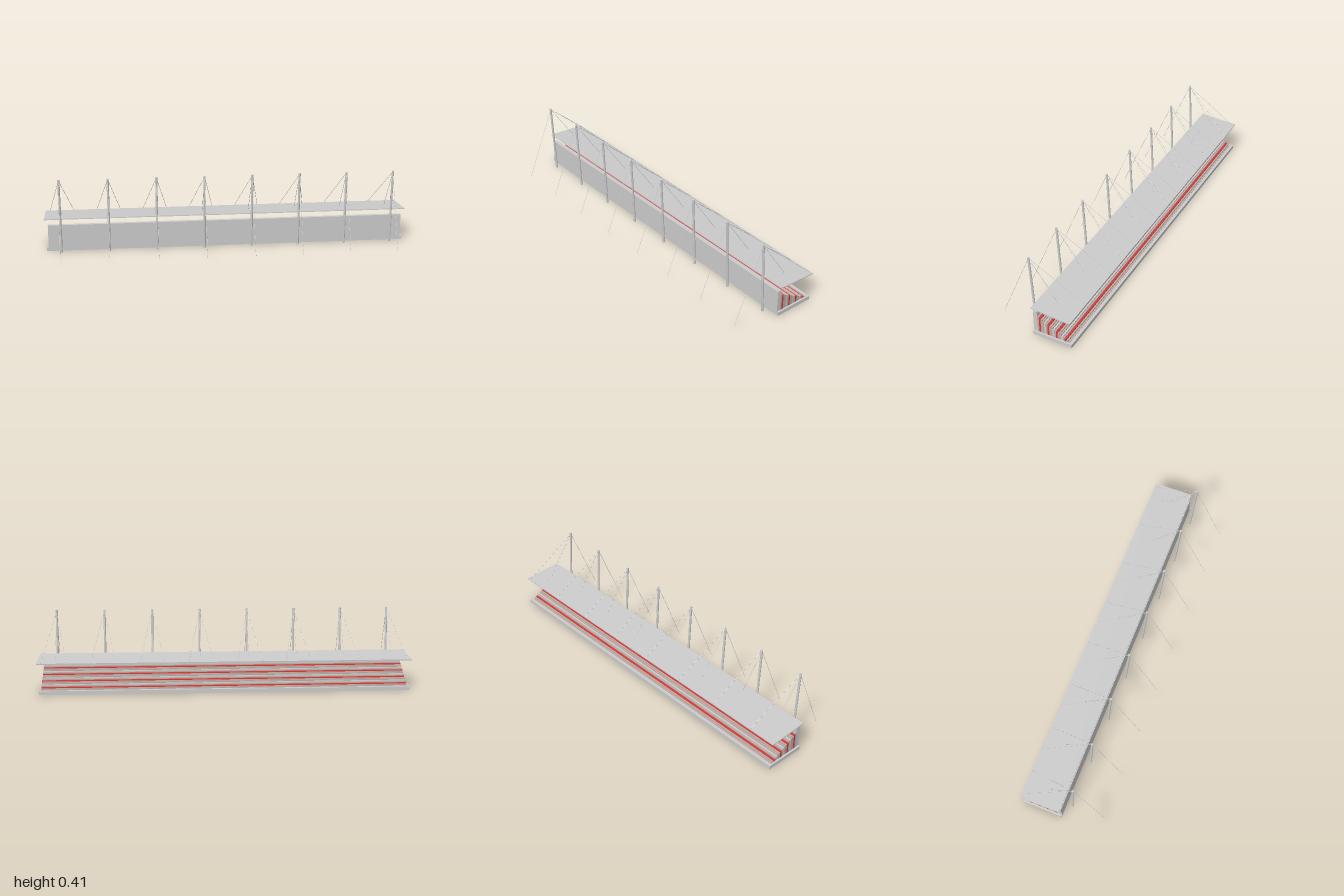
import * as THREE from 'three';

export function createModel() {
  const model = new THREE.Group();
  const material = (color) => new THREE.MeshStandardMaterial({ color, flatShading: true });
  const grey = material(0xcccccc);
  const red = material(0xd83a3a);
  const tan = material(0xbfaaa2);

  // Box given by its limits on each axis
  function slab(name, x0, x1, y0, y1, z0, z1, mat = grey, parent = model) {
    const mesh = new THREE.Mesh(new THREE.BoxGeometry(x1 - x0, y1 - y0, z1 - z0), mat);
    mesh.position.set((x0 + x1) / 2, (y0 + y1) / 2, (z0 + z1) / 2);
    mesh.name = name;
    parent.add(mesh);
    return mesh;
  }

  // Straight round bar between two points
  function bar(name, a, b, radius, sides, parent) {
    const from = new THREE.Vector3(...a), to = new THREE.Vector3(...b);
    const dir = to.clone().sub(from);
    const mesh = new THREE.Mesh(new THREE.CylinderGeometry(radius, radius, dir.length(), sides), grey);
    mesh.position.copy(from).add(to).multiplyScalar(0.5);
    mesh.quaternion.setFromUnitVectors(new THREE.Vector3(0, 1, 0), dir.normalize());
    mesh.name = name;
    parent.add(mesh);
  }

  // Wall behind the seats with a lip along its top
  slab('rearWall', -0.98, 0.98, 0, 0.144, -0.022, 0);
  slab('wallLip', -0.98, 0.98, 0.122, 0.14, -0.024, -0.022);

  // Stepped seating rows, every fifth one red
  const rows = new THREE.Group();
  rows.name = 'seatingRows';
  model.add(rows);
  const count = 19, depth = 0.0095;
  const colors = [tan, red, tan, tan, grey];
  for (let i = 0; i < count; i++) {
    const z = -0.022 - i * depth;
    slab('seatRow', -0.98, 0.98, 0, 0.114 - i * 0.0051, z - depth, z, colors[i % 5], rows);
  }

  // Walkway in front of the seats and kerbs at both ends
  slab('walkway', -0.98, 0.98, 0, 0.02, -0.22, -0.022 - count * depth);
  for (const s of [-1, 1]) {
    slab('endKerb', s * 0.985 - 0.005, s * 0.985 + 0.005, 0, 0.02, -0.22, 0);
  }

  // Thin canopy sloping down over the stand
  const roof = slab('canopy', -1, 1, 0.169, 0.174, -0.22, 0);
  roof.rotation.x = -Math.atan2(0.012, 0.22);

  // Leaning masts with their stay cables
  for (let i = 0; i < 8; i++) {
    const support = new THREE.Group();
    support.name = 'mastWithCables';
    support.position.x = -0.91 + i * 0.26;
    bar('mast', [0, 0, 0.031], [0, 0.41, 0.053], 0.0062, 8, support);
    const top = [0, 0.406, 0.053];
    bar('backStay', top, [0, 0, 0.22], 0.001, 5, support);
    bar('innerCable', top, [0, 0.173, -0.107], 0.001, 5, support);
    for (const s of [-1, 1]) {
      bar('outerCable', top, [s * 0.066, 0.167, -0.218], 0.001, 5, support);
    }
    model.add(support);
  }
  return model;
}
